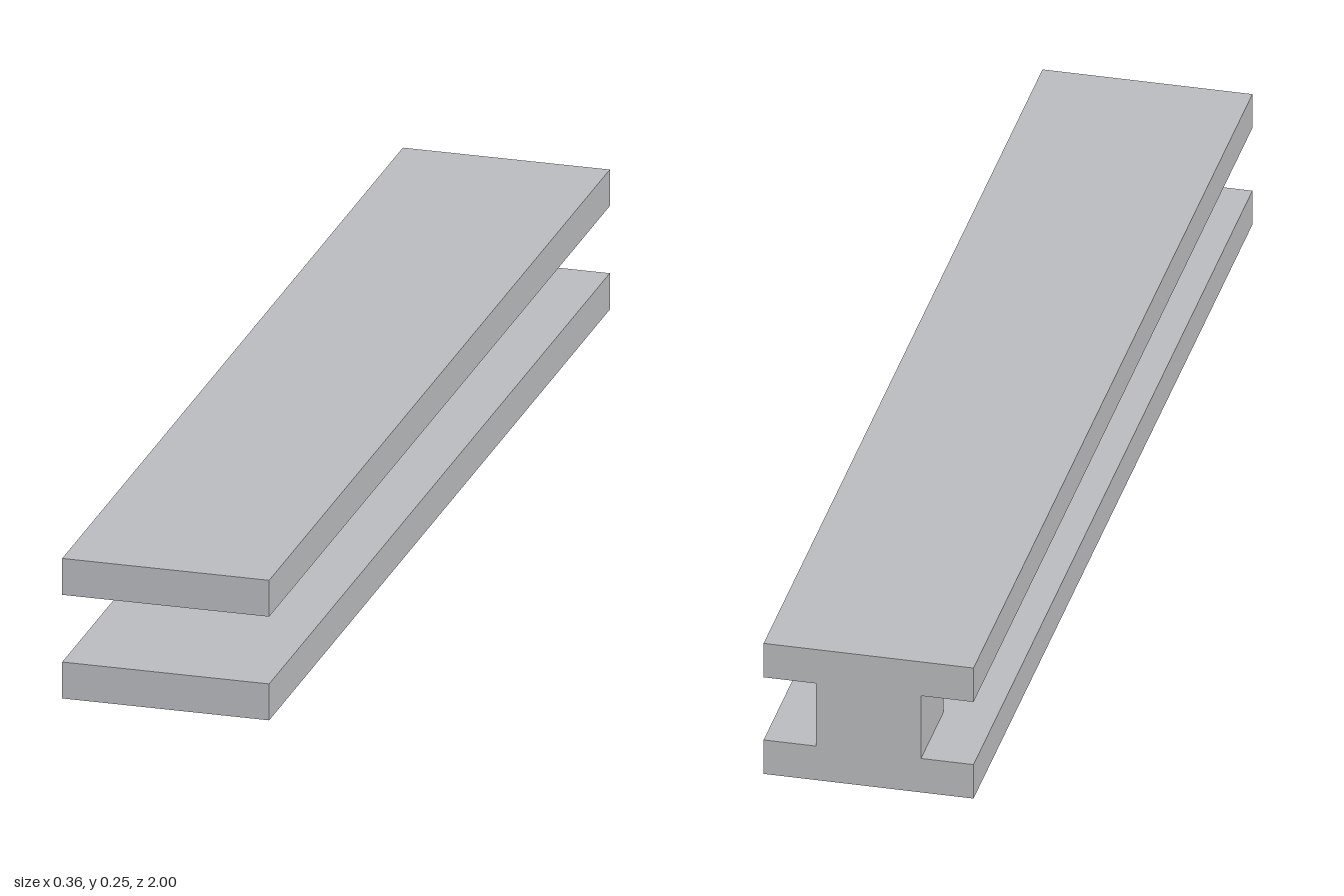
import * as THREE from 'three';

export function createModel() {
  const model = new THREE.Group();
  model.name = 'twoPlateBracket';

  const greyMetal = new THREE.MeshStandardMaterial({ color: 0xbabbbe });
  greyMetal.name = 'grey metal';

  const width = 0.36, height = 0.25, length = 2, thickness = 0.065;
  const blockWidth = 0.18, blockLength = 0.16;

  function addBox(name, w, h, d, y, z) {
    const mesh = new THREE.Mesh(new THREE.BoxGeometry(w, h, d), greyMetal);
    mesh.name = name;
    mesh.position.set(0, y, z);
    model.add(mesh);
  }

  // Two long parallel plates
  addBox('lowerPlate', width, thickness, length, thickness / 2, 0);
  addBox('upperPlate', width, thickness, length, height - thickness / 2, 0);

  // Short block joining the plates, flush with their back ends
  addBox('spacerBlock', blockWidth, height - 2 * thickness, blockLength,
    height / 2, -length / 2 + blockLength / 2);

  return model;
}
